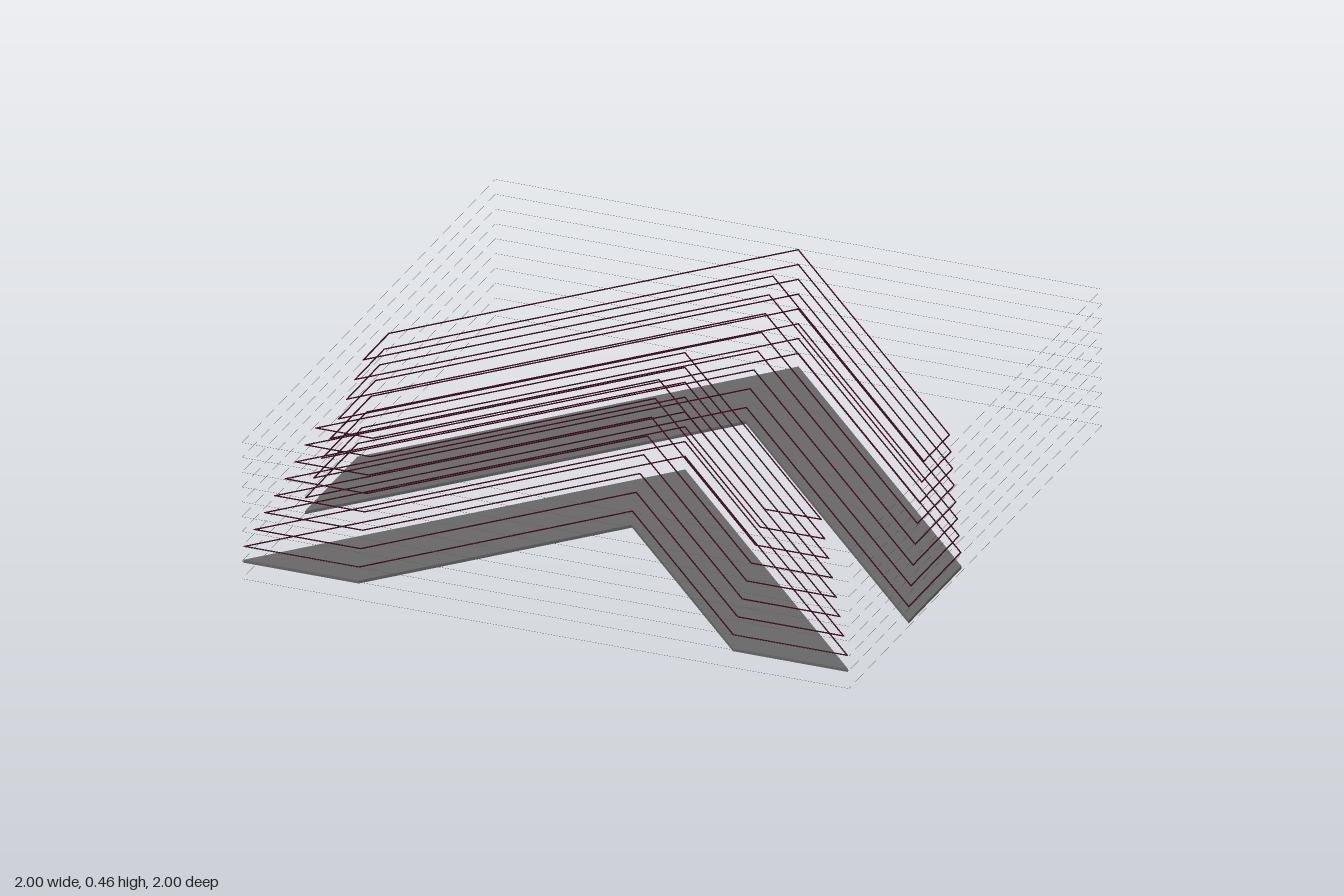
import * as THREE from 'three';

const SLOPE = 1.106;
const SLANT = Math.hypot(1, SLOPE);
const plateMat = new THREE.MeshStandardMaterial({ color: 0x666666 });
const lineMat = new THREE.MeshStandardMaterial({ color: 0x3a0a1a });
const hairMat = new THREE.MeshStandardMaterial({ color: 0x555555 });

// Chevron with arms cut off at the sides (|x| = end), shrunk inwards by w
function sideCut(outer, inner, end, w = 0) {
  const a = outer + w * SLANT, b = inner - w * SLANT, x = end - w;
  return [[0, a], [x, a + SLOPE * x], [x, b + SLOPE * x], [0, b], [-x, b + SLOPE * x], [-x, a + SLOPE * x]];
}

// Chevron with arms cut off at the front (z = end), shrunk inwards by w
function frontCut(outer, inner, end, w = 0) {
  const a = outer + w * SLANT, b = inner - w * SLANT, z = end - w;
  const xa = (z - a) / SLOPE, xb = (z - b) / SLOPE;
  return [[0, a], [xa, z], [xb, z], [0, b], [-xb, z], [-xa, z]];
}

const square = (half) => [[-half, -half], [half, -half], [half, half], [-half, half]];

// Horizontal slab from an (x, z) outline, optionally hollow, centred on height y
function slab(name, points, hole, y, thickness, material) {
  const toVectors = (list) => list.map(([x, z]) => new THREE.Vector2(x, z));
  const shape = new THREE.Shape(toVectors(points));
  if (hole) shape.holes.push(new THREE.Path(toVectors(hole)));
  const geometry = new THREE.ExtrudeGeometry(shape, { depth: thickness, bevelEnabled: false });
  geometry.rotateX(Math.PI / 2);
  const mesh = new THREE.Mesh(geometry, material);
  mesh.name = name;
  mesh.position.y = y + thickness / 2;
  return mesh;
}

// One solid plate with a stack of ever narrower outlines above it
function chevronStack(name, cut, outer, inner, end, endStep, y) {
  const group = new THREE.Group();
  group.name = name;
  group.add(slab('plate', cut(outer, inner, end), null, y, 0.01, plateMat));
  for (let k = 0; k < 8; k++) {
    const args = [outer, inner - 0.03 * k, end - endStep * k];
    group.add(slab('outline', cut(...args), cut(...args, 0.003), y + 0.05 * (k + 1), 0.003, lineMat));
  }
  return group;
}

export function createModel() {
  const model = new THREE.Group();
  model.name = 'stackedChevrons';
  model.add(chevronStack('rearChevron', sideCut, -1, -0.585, 0.995, 0.01, 0.009));
  model.add(chevronStack('frontChevron', frontCut, -0.105, 0.315, 0.997, 0.0255, 0.059));

  // Hairline square border around every layer
  for (let k = 0; k < 10; k++) {
    const y = k === 0 ? 0.0003 : 0.01 + 0.05 * k;
    model.add(slab('layerBorder', square(1), square(0.9995), y, 0.0005, hairMat));
  }
  return model;
}
